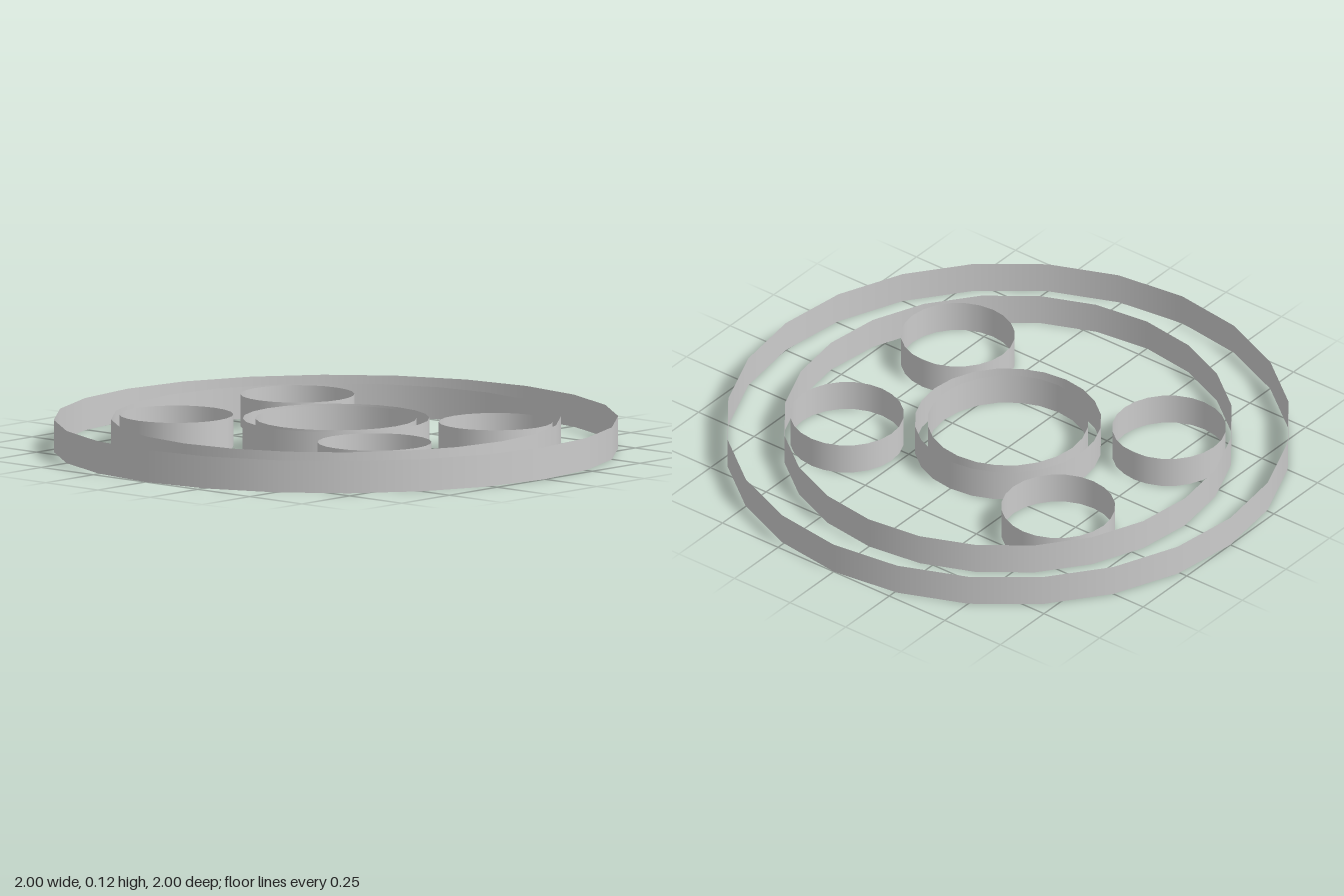
import * as THREE from 'three';

const HEIGHT = 0.115;
const SEGMENTS = 24;

export function createModel() {
  const model = new THREE.Group();
  model.name = 'wheelPlateWalls';
  const material = new THREE.MeshStandardMaterial({ color: 0xcccccc, side: THREE.DoubleSide });

  // Thin upright band, open at top and bottom
  function addWall(name, radius, x = 0, z = 0) {
    const geometry = new THREE.CylinderGeometry(radius, radius, HEIGHT, SEGMENTS, 1, true);
    const wall = new THREE.Mesh(geometry, material);
    wall.name = name;
    wall.position.set(x, HEIGHT / 2, z);
    model.add(wall);
  }

  // Concentric walls of the rim and hub
  addWall('outerRim', 1);
  addWall('innerRim', 0.797);
  addWall('hubOuterWall', 0.331);
  addWall('hubBore', 0.286);

  // Four round openings, mirrored left-right and front-back
  for (const [side, sx] of [['Left', 1], ['Right', -1]]) {
    for (const [end, sz] of [['front', 1], ['back', -1]]) {
      addWall(`${end}${side}Opening`, 0.202, sx * 0.475, sz * 0.318);
    }
  }
  return model;
}
